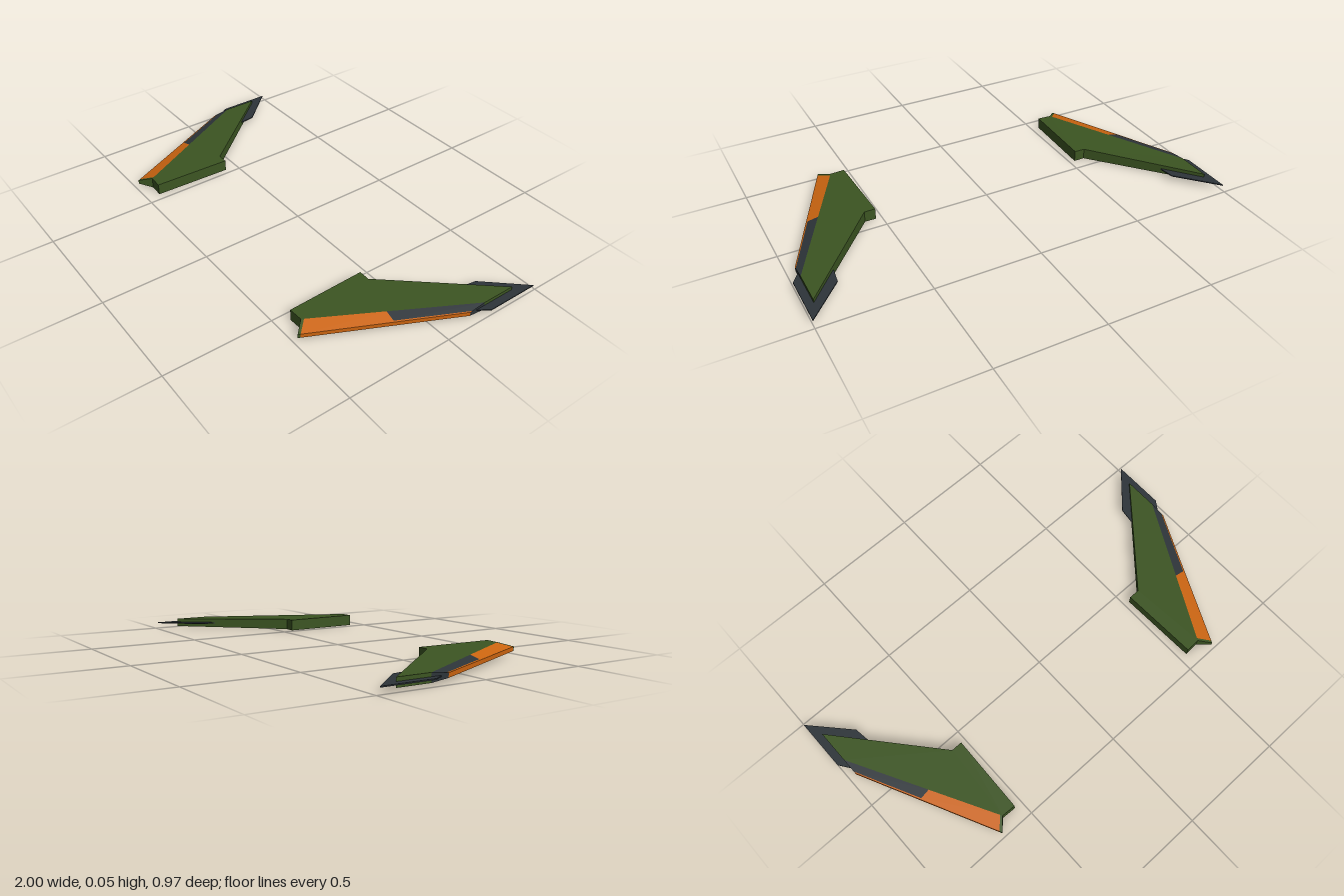
import * as THREE from 'three';

const MID = 0.027; // height of the wing's centre plane

export function createModel() {
  const flat = (name, color) => {
    const m = new THREE.MeshStandardMaterial({ color });
    m.name = name;
    return m;
  };
  const green = flat('olive green', 0x3c5522);
  const orange = flat('orange', 0xcc6510);
  const dark = flat('dark slate', 0x2d3439);

  // Outline corners of the wing: [x, z, half thickness]
  const A = [0.528, 0.062, 0.027], B = [0.58, 0.062, 0.026];
  const C = [0.965, -0.39, 0.0195], D = [0.965, -0.23, 0.0195];
  const E = [0.607, 0.432, 0.0265], F = [0.54, 0.435, 0.027];
  const G = [0.655, 0.483, 0.0095], H = [0.965, -0.15, 0.0095];

  const mix = (p, q, t) => p.map((a, i) => a + (q[i] - a) * t);
  // Point on the leading bevel: t runs root to tip, v runs inner to outer edge
  const bevel = (t, v) => mix(mix(E, D, t), mix(G, H, t), v);

  function buildWing(side, name) {
    const wing = new THREE.Group();
    wing.name = name;

    // Turns lists of convex faces, each with a rough outward direction, into a flat mesh
    function addPart(partName, material, faces) {
      const pos = [];
      for (const { pts, out } of faces) {
        const v = pts.map(([x, y, z]) => new THREE.Vector3(x * side, y, z));
        const dir = new THREE.Vector3(out[0] * side, out[1], out[2]);
        const n = v[1].clone().sub(v[0]).cross(v[2].clone().sub(v[0]));
        if (n.dot(dir) < 0) v.reverse();
        for (let i = 1; i < v.length - 1; i++) {
          for (const p of [v[0], v[i], v[i + 1]]) pos.push(p.x, p.y, p.z);
        }
      }
      const geo = new THREE.BufferGeometry();
      geo.setAttribute('position', new THREE.Float32BufferAttribute(pos, 3));
      geo.computeVertexNormals();
      const mesh = new THREE.Mesh(geo, material);
      mesh.name = partName;
      wing.add(mesh);
    }

    // The same face on the upper and lower surface
    const skin = (...ps) => [1, -1].map((s) => ({
      pts: ps.map(([x, z, h]) => [x, MID + s * h, z]), out: [0, s, 0],
    }));
    // Upright face between two outline corners
    const wall = (p, q, out) => ({
      pts: [[p[0], MID + p[2], p[1]], [p[0], MID - p[2], p[1]],
        [q[0], MID - q[2], q[1]], [q[0], MID + q[2], q[1]]], out,
    });

    // Main panel with root, trailing and tip walls, plus the bevel's front cap
    addPart('wingPanel', green, [
      ...skin(A, B, E, F), ...skin(B, C, D, E),
      ...skin(bevel(0, 0), bevel(0.017, 0), bevel(0.017, 1), bevel(0, 1)),
      wall(F, A, [-1, 0, 0]), wall(A, B, [0, 0, -1]), wall(B, C, [-1, 0, -1]),
      wall(C, D, [1, 0, 0]), wall(F, E, [0, 0, 1]), wall(E, G, [-1, 0, 1]),
      wall(G, bevel(0.017, 1), [1, 0, 0.5]),
    ]);

    // Painted leading edge, continuing as a thin strip outside the guard
    const innerStart = bevel(0.46, 0), outerStart = bevel(0.54, 0.86);
    addPart('leadingEdge', orange, [
      ...skin(bevel(0.017, 0), innerStart, outerStart, bevel(0.017, 1)),
      ...skin(bevel(0.017, 1), outerStart, bevel(1, 0.86), H),
      wall(bevel(0.017, 1), H, [1, 0, 0.5]),
    ]);

    // Dark guard on the outer half of the bevel, wrapping onto the tip
    addPart('leadingEdgeGuard', dark, [
      ...skin(innerStart, D, bevel(1, 0.86), outerStart),
      wall(D, H, [1, 0, 0]),
    ]);

    // Thin blade passing through the wing tip
    const outline = [[0.828, -0.235], [0.838, -0.308], [1, -0.485], [1, -0.235], [0.965, -0.185]];
    const shape = new THREE.Shape(outline.map(([x, z]) => new THREE.Vector2(x * side, z)));
    const bladeGeo = new THREE.ExtrudeGeometry(shape, { depth: 0.005, bevelEnabled: false });
    bladeGeo.rotateX(Math.PI / 2).translate(0, MID + 0.0035, 0);
    const blade = new THREE.Mesh(bladeGeo, dark);
    blade.name = 'tipBlade';
    wing.add(blade);
    return wing;
  }

  const model = new THREE.Group();
  model.name = 'wingPair';
  model.add(buildWing(1, 'leftWing'), buildWing(-1, 'rightWing'));
  return model;
}
